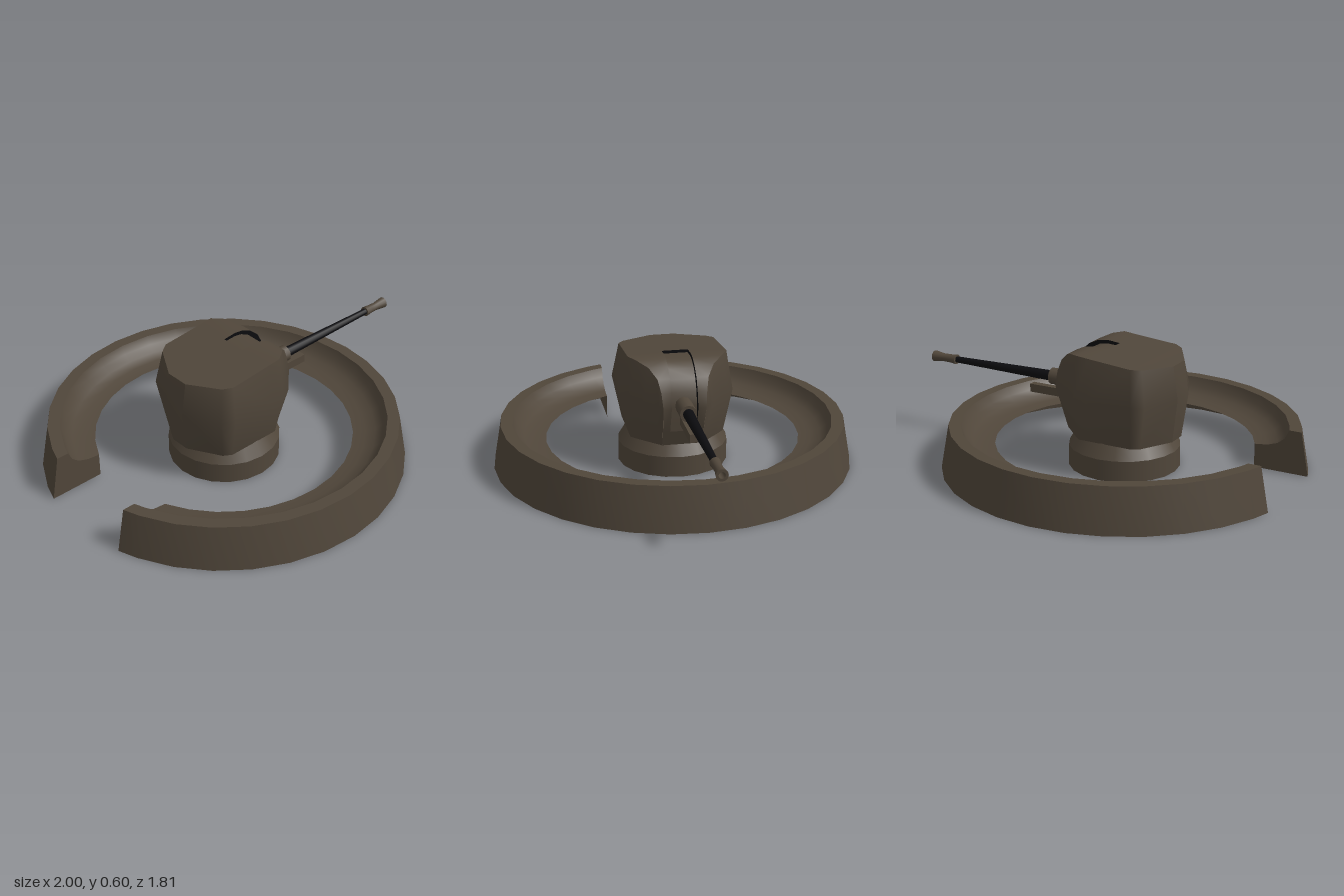
import * as THREE from 'three';

const material = (name, color) => {
  const m = new THREE.MeshStandardMaterial({ color, side: THREE.DoubleSide });
  m.name = name;
  return m;
};

// Smooth surface through rows of [x, y, z] points.
function grid(rows) {
  const n = rows[0].length, index = [];
  for (let i = 0; i < rows.length - 1; i++) {
    for (let j = 0; j < n - 1; j++) {
      const a = i * n + j, b = a + n;
      index.push(a, b, a + 1, b, b + 1, a + 1);
    }
  }
  const g = new THREE.BufferGeometry();
  g.setAttribute('position', new THREE.Float32BufferAttribute(rows.flat(2), 3));
  g.setIndex(index);
  g.computeVertexNormals();
  return g;
}

export function createModel() {
  const brown = material('dull brown', 0x50463a);
  const black = material('gun black', 0x0c0c0f);
  const model = new THREE.Group();
  const add = (name, geometry, mat = brown, parent = model) => {
    const mesh = new THREE.Mesh(geometry, mat);
    mesh.name = name;
    parent.add(mesh);
    return mesh;
  };
  const group = (name) => {
    const g = new THREE.Group();
    g.name = name;
    model.add(g);
    return g;
  };

  // Parapet: an open ring, cut straight across at z = +-gap
  const cx = -0.135, gap = 0.25, step = Math.PI / 16;
  const parapet = group('parapet');
  const sweep = (profile) => {
    const rows = [];
    for (let i = 1; i <= 31; i++) {
      rows.push(profile.map(([r, y]) => {
        const cut = Math.asin(gap / r);
        let a = Math.min(Math.max(i * step, cut), 2 * Math.PI - cut);
        if (i === 1) a = cut;
        if (i === 31) a = 2 * Math.PI - cut;
        return [cx - r * Math.cos(a), y, r * Math.sin(a)];
      }));
    }
    return grid(rows);
  };
  const outer = [[0.905, 0], [0.865, 0.22]];
  const bank = [[0.805, 0.22], [0.785, 0.175], [0.75, 0.145], [0.7, 0.127], [0.64, 0.12]];
  add('outerWall', sweep(outer), brown, parapet);
  add('rim', sweep([outer[1], bank[0]]), brown, parapet);
  add('innerBank', sweep(bank), brown, parapet);
  const endShape = new THREE.Shape([...outer, ...bank, [0.64, 0]].map(
    ([r, y]) => new THREE.Vector2(cx - Math.sqrt(r * r - gap * gap), y)));
  for (const s of [-1, 1]) {
    add('parapetEnd', new THREE.ShapeGeometry(endShape), brown, parapet).position.z = s * gap;
  }

  // Pedestal, open underneath
  const pedestal = group('pedestal');
  for (const band of [[[0.277, 0], [0.277, 0.105]], [[0.277, 0.105], [0.235, 0.175]]]) {
    const g = new THREE.LatheGeometry(band.map((p) => new THREE.Vector2(...p)), 20);
    add('pedestalBand', g, brown, pedestal).position.x = cx;
  }

  // Turret stations, back to front: bottom, middle and shoulder as [x, y, half width]
  const stations = [
    [[-0.42, 0.17, 0.05], [-0.45, 0.39, 0.06], [-0.425, 0.555, 0.06]],
    [[-0.33, 0.17, 0.21], [-0.365, 0.39, 0.24], [-0.335, 0.563, 0.215]],
    [[-0.29, 0.17, 0.235], [-0.31, 0.39, 0.28], [-0.29, 0.568, 0.245]],
    [[-0.07, 0.17, 0.235], [-0.07, 0.39, 0.28], [-0.07, 0.588, 0.245]],
    [[-0.01, 0.17, 0.235], [0, 0.39, 0.28], [0, 0.595, 0.245]],
    [[0.03, 0.17, 0.2], [0.06, 0.39, 0.25], [0.05, 0.588, 0.21]],
    [[0.07, 0.17, 0.16], [0.12, 0.39, 0.19], [0.1, 0.565, 0.16]],
    [[0.11, 0.17, 0.12], [0.165, 0.39, 0.145], [0.15, 0.52, 0.125]],
    [[0.125, 0.17, 0.105], [0.185, 0.39, 0.125], [0.18, 0.46, 0.112]],
    [[0.13, 0.17, 0.1], [0.2, 0.38, 0.105], [0.2, 0.38, 0.105]],
  ];
  const turret = group('turret');
  const side = ([x, y, w], s) => [x, y, s * w];
  const across = (p) => [side(p, -1), side(p, 1)];
  const slot = 0.065;
  const shoulders = stations.map((st) => st[2]);
  add('turretBack', grid(stations[0].map(across)), brown, turret);
  add('turretRoof', grid(shoulders.slice(0, 4).map(across)), brown, turret);
  add('turretFloor', grid(stations.map((st) => across(st[0]))), brown, turret);

  // Rolled front, split by the gun slot
  const chin = [0.157, 0.25, 0.1], toe = [0.13, 0.17, 0.1];
  const edge = [...shoulders.slice(3), chin];
  const bed = [[-0.07, 0.573], [0, 0.577], [0.04, 0.57], [0.085, 0.547],
    [0.125, 0.505], [0.152, 0.45], [0.168, 0.38], [0.157, 0.25]];
  for (const s of [-1, 1]) {
    add('turretSide', grid(stations.map((st) => st.map((p) => side(p, s)))), brown, turret);
    add('rolledFront', grid([...edge, toe].map((p) => [side(p, s), [p[0], p[1], s * slot]])), brown, turret);
    add('slotWall', grid(edge.map(([x, y], i) => [[x, y, s * slot], [...bed[i], s * slot]])), black, turret);
  }
  const strip = ([x, y]) => [[x, y, -slot], [x, y, slot]];
  add('slotBack', grid([edge[0], bed[0]].map(strip)), black, turret);
  add('gunShield', grid(bed.map(strip)), brown, turret);
  add('chinPlate', grid([chin, toe].map(strip)), brown, turret);

  // Gun, turned about the x axis
  const gun = group('gun');
  const turned = (name, profile, mat) => {
    const g = new THREE.LatheGeometry(profile.map(([x, r]) => new THREE.Vector2(r, x)), 12);
    g.rotateZ(-Math.PI / 2);
    add(name, g, mat, gun).position.y = 0.385;
  };
  turned('sleeve', [[0.15, 0.042], [0.28, 0.042]], brown);
  turned('sleeveFace', [[0.28, 0.042], [0.28, 0]], brown);
  turned('barrel', [[0.27, 0.027], [0.87, 0.016]], black);
  turned('muzzleBack', [[0.86, 0.012], [0.86, 0.026]], brown);
  turned('muzzle', [[0.86, 0.026], [0.9, 0.022], [0.94, 0.021], [1, 0.029]], brown);
  turned('muzzleFace', [[1, 0.029], [1, 0.016]], brown);
  turned('bore', [[1, 0.016], [0.93, 0.016], [0.93, 0]], brown);
  add('recoilBar', new THREE.BoxGeometry(0.26, 0.042, 0.036), brown, gun).position.set(0.27, 0.308, 0);

  return model;
}
